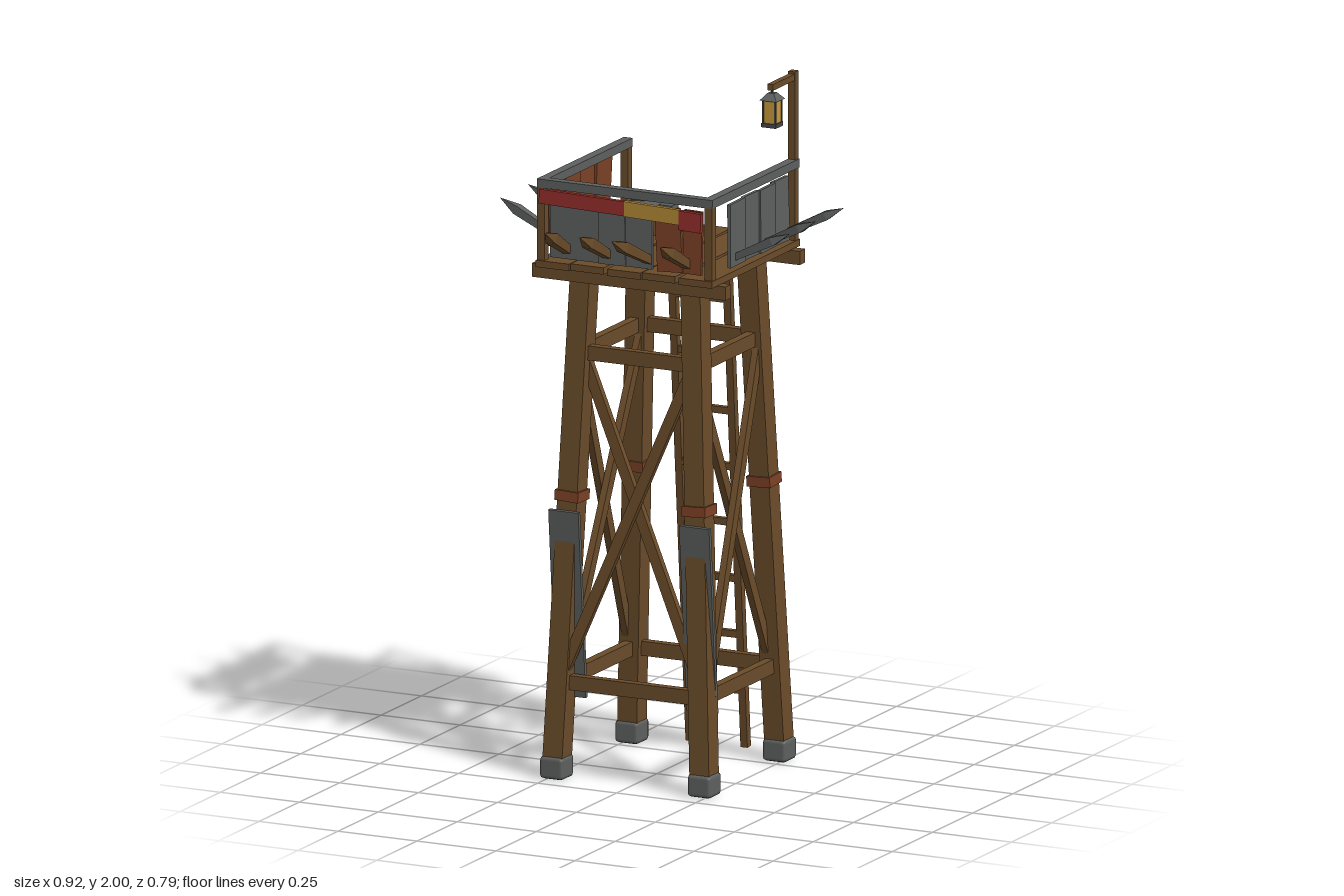
import * as THREE from 'three';
import { RoundedBoxGeometry } from 'three/addons/geometries/RoundedBoxGeometry.js';

const mat = (name, color, extra = {}) => {
  const m = new THREE.MeshStandardMaterial({ color, ...extra });
  m.name = name;
  return m;
};

export function createModel() {
  const wood = mat('wood', 0x6b4c2a);
  const metal = mat('metal', 0x5e6160);
  const iron = mat('darkIron', 0x45484a);
  const rust = mat('rust', 0x7d4226);
  const red = mat('redPaint', 0x962f2b);
  const yellow = mat('yellowPaint', 0xb58a35);
  const glow = mat('lanternGlass', 0xc79a3c);

  const root = new THREE.Group();
  root.name = 'watchtower';
  const V = (x, y, z) => new THREE.Vector3(x, y, z);
  const CZ = -0.07; // tower axis in z

  const add = (name, geo, m, x = 0, y = 0, z = 0, parent = root) => {
    const mesh = new THREE.Mesh(geo, m);
    mesh.name = name;
    mesh.position.set(x, y, z);
    parent.add(mesh);
    return mesh;
  };
  const box = (name, w, h, d, m, x, y, z, parent) =>
    add(name, new THREE.BoxGeometry(w, h, d), m, x, y, z, parent);
  // Turn a mesh so its y axis runs from a to b and its z axis faces ref
  const aim = (mesh, a, b, ref) => {
    const y = b.clone().sub(a).normalize();
    const x = y.clone().cross(ref).normalize();
    const z = x.clone().cross(y);
    mesh.quaternion.setFromRotationMatrix(new THREE.Matrix4().makeBasis(x, y, z));
    return mesh;
  };
  const beam = (name, a, b, w, d, m, ref = V(0, 0, 1)) => {
    const c = a.clone().add(b).multiplyScalar(0.5);
    return aim(box(name, w, a.distanceTo(b), d, m, c.x, c.y, c.z), a, b, ref);
  };
  // Point on the axis of a leg at height y; sx and sz pick the corner
  const legAt = (sx, sz, y) => {
    const r = 0.235 - 0.06 * y / 1.46;
    return V(sx * r, y, CZ + sz * r);
  };

  // Legs, footings and bands
  for (const sx of [-1, 1]) for (const sz of [-1, 1]) {
    const leg = [legAt(sx, sz, 0.04), legAt(sx, sz, 1.47)];
    beam('leg', ...leg, 0.062, 0.062, wood);
    const f = legAt(sx, sz, 0.033);
    add('footing', new RoundedBoxGeometry(0.076, 0.066, 0.076, 1, 0.012), metal, f.x, f.y, f.z);
    beam('legBand', legAt(sx, sz, 0.805), legAt(sx, sz, 0.835), 0.074, 0.074, rust);
  }
  // Leaning armour plates on the front legs
  for (const s of [-1, 1]) {
    box('legPlate', 0.095, 0.55, 0.012, metal, s * 0.207, 0.505, 0.146).rotation.x = 0.085;
  }

  // Horizontal braces on four sides, crosses on all but the ladder side
  const sides = [
    [[-1, 1], [1, 1], V(0, 0, 1)], [[1, 1], [1, -1], V(1, 0, 0)],
    [[-1, -1], [-1, 1], V(-1, 0, 0)], [[1, -1], [-1, -1], V(0, 0, -1)],
  ];
  sides.forEach(([p, q, n], i) => {
    for (const y of [0.28, 1.235]) beam('brace', legAt(...p, y), legAt(...q, y), 0.042, 0.026, wood, n);
    if (i === 3) return;
    const o = n.clone().multiplyScalar(0.012);
    beam('crossBrace', legAt(...p, 0.28).add(o), legAt(...q, 1.24).add(o), 0.032, 0.02, wood, n);
    beam('crossBrace', legAt(...q, 0.28).sub(o), legAt(...p, 1.24).sub(o), 0.032, 0.02, wood, n);
  });

  // Ladder
  const ladderZ = (y) => -0.382 + 0.08 * y;
  for (const s of [-1, 1]) {
    beam('ladderRail', V(s * 0.087, 0.004, ladderZ(0)), V(s * 0.087, 1.49, ladderZ(1.49)), 0.022, 0.022, wood);
  }
  for (let i = 1; i <= 8; i++) {
    const y = 0.005 + i * 0.1655;
    box('ladderRung', 0.18, 0.02, 0.018, wood, 0, y, ladderZ(y));
  }

  // Deck: two joists and five uneven planks
  for (const z of [-0.305, 0.157]) box('joist', 0.612, 0.04, 0.034, wood, 0, 1.47, z);
  const planks = [[-0.227, -0.363, 0.006], [-0.113, -0.348, -0.01], [-0.003, -0.375, 0.012],
    [0.112, -0.356, -0.006], [0.225, -0.35, 0.008]];
  planks.forEach(([x, z0, turn], i) => {
    box('deckPlank', 0.105, 0.02, 0.207 - z0, wood, x, 1.499 + (i % 2) * 0.002, (0.207 + z0) / 2).rotation.y = turn;
  });

  // Parapet posts and metal top rails
  for (const s of [-1, 1]) {
    box('cornerPost', 0.024, 0.22, 0.024, wood, s * 0.265, 1.615, 0.188);
    box('sideRail', 0.028, 0.025, 0.54, metal, s * 0.264, 1.732, -0.071);
  }
  box('rearPost', 0.024, 0.22, 0.024, wood, -0.265, 1.615, -0.33);
  box('frontRail', 0.55, 0.025, 0.027, metal, 0, 1.732, 0.188);

  // Side panels
  for (const s of [-1, 1]) [-0.213, -0.12, -0.025, 0.068].forEach((z, i) => {
    const p = box('sidePanel', 0.01, 0.185, 0.094, s < 0 ? rust : metal, s * (i % 2 ? 0.287 : 0.282), 1.622, z);
    p.rotation.set((i % 2 ? 1 : -1) * 0.015, 0, s * (i ? 0 : 0.04));
  });
  // Front panels
  const fronts = [[-0.153, 0.155, metal, 0], [-0.034, 0.085, metal, 0.015], [0.05, 0.085, metal, -0.01],
    [0.146, 0.08, rust, 0.05], [0.22, 0.058, rust, -0.02]];
  fronts.forEach(([x, w, m, tilt], i) => {
    box('frontPanel', w, 0.185, 0.01, m, x, 1.617, 0.206 + (i % 2) * 0.004).rotation.z = tilt;
  });
  // Painted board across the front
  box('redBoard', 0.27, 0.042, 0.014, red, -0.12, 1.7, 0.226).rotation.z = -0.025;
  box('yellowBoard', 0.176, 0.044, 0.014, yellow, 0.1, 1.694, 0.226).rotation.z = -0.03;
  box('redEndBoard', 0.07, 0.056, 0.014, red, 0.222, 1.682, 0.226).rotation.z = -0.04;

  // Four-sided spikes
  const spike = (name, a, b, r, m) => {
    const L = a.distanceTo(b);
    const pts = [[0, 0], [r * 0.75, 0], [r, L * 0.7], [0, L]].map(([x, y]) => new THREE.Vector2(x, y));
    const geo = new THREE.LatheGeometry(pts, 4, Math.PI / 4).toNonIndexed();
    geo.computeVertexNormals();
    aim(add(name, geo, m, a.x, a.y, a.z), a, b, V(0, 1, 0));
  };
  const sideTips = { '-1': [-0.247, -0.102, 0.072], 1: [-0.261, -0.087, 0.076] };
  for (const s of [-1, 1]) [-0.25, -0.106, 0.074].forEach((z, i) => {
    spike('sideSpike', V(s * 0.28, 1.55, z), V(s * 0.46, 1.64, sideTips[s][i]), 0.018, metal);
  });
  [[-0.18, -0.155], [-0.05, -0.045], [0.08, 0.056], [0.2, 0.21]].forEach(([x0, x1]) => {
    spike('frontSpike', V(x0, 1.548, 0.2), V(x1, 1.643, 0.393), 0.022, wood);
  });

  // Lantern pole and arm
  box('lanternPole', 0.022, 0.5, 0.022, wood, 0.262, 1.75, -0.335);
  box('lanternArm', 0.018, 0.018, 0.15, wood, 0.262, 1.984, -0.265);
  const lantern = new THREE.Group();
  lantern.name = 'lantern';
  lantern.position.set(0.262, 1.868, -0.203);
  root.add(lantern);
  box('lanternBase', 0.046, 0.012, 0.046, iron, 0, 0.006, 0, lantern);
  box('lanternGlass', 0.038, 0.07, 0.038, glow, 0, 0.045, 0, lantern);
  for (const x of [-1, 1]) for (const z of [-1, 1]) {
    box('lanternBar', 0.005, 0.07, 0.005, iron, x * 0.019, 0.045, z * 0.019, lantern);
  }
  const cap = new THREE.CylinderGeometry(0.014, 0.038, 0.02, 4, 1, false, Math.PI / 4).toNonIndexed();
  cap.computeVertexNormals();
  add('lanternCap', cap, metal, 0, 0.088, 0, lantern);
  box('lanternHook', 0.006, 0.022, 0.006, iron, 0, 0.105, 0, lantern);

  // Crate with a metal lid
  const crate = new THREE.Group();
  crate.name = 'crate';
  crate.position.set(-0.15, 1.51, -0.224);
  crate.rotation.y = 0.27;
  root.add(crate);
  box('crateBody', 0.112, 0.075, 0.086, wood, 0, 0.0375, 0, crate);
  for (const s of [-1, 1]) {
    box('crateRim', 0.122, 0.012, 0.01, wood, 0, 0.075, s * 0.043, crate);
    box('crateRim', 0.01, 0.012, 0.096, wood, s * 0.056, 0.075, 0, crate);
  }
  box('crateLid', 0.102, 0.008, 0.076, metal, 0, 0.075, 0, crate);

  // Metal canister in the middle of the deck
  add('canister', new RoundedBoxGeometry(0.056, 0.12, 0.056, 1, 0.008), metal, 0, 1.57, -0.073);
  box('canisterCap', 0.042, 0.014, 0.042, metal, 0, 1.635, -0.073);

  return root;
}
